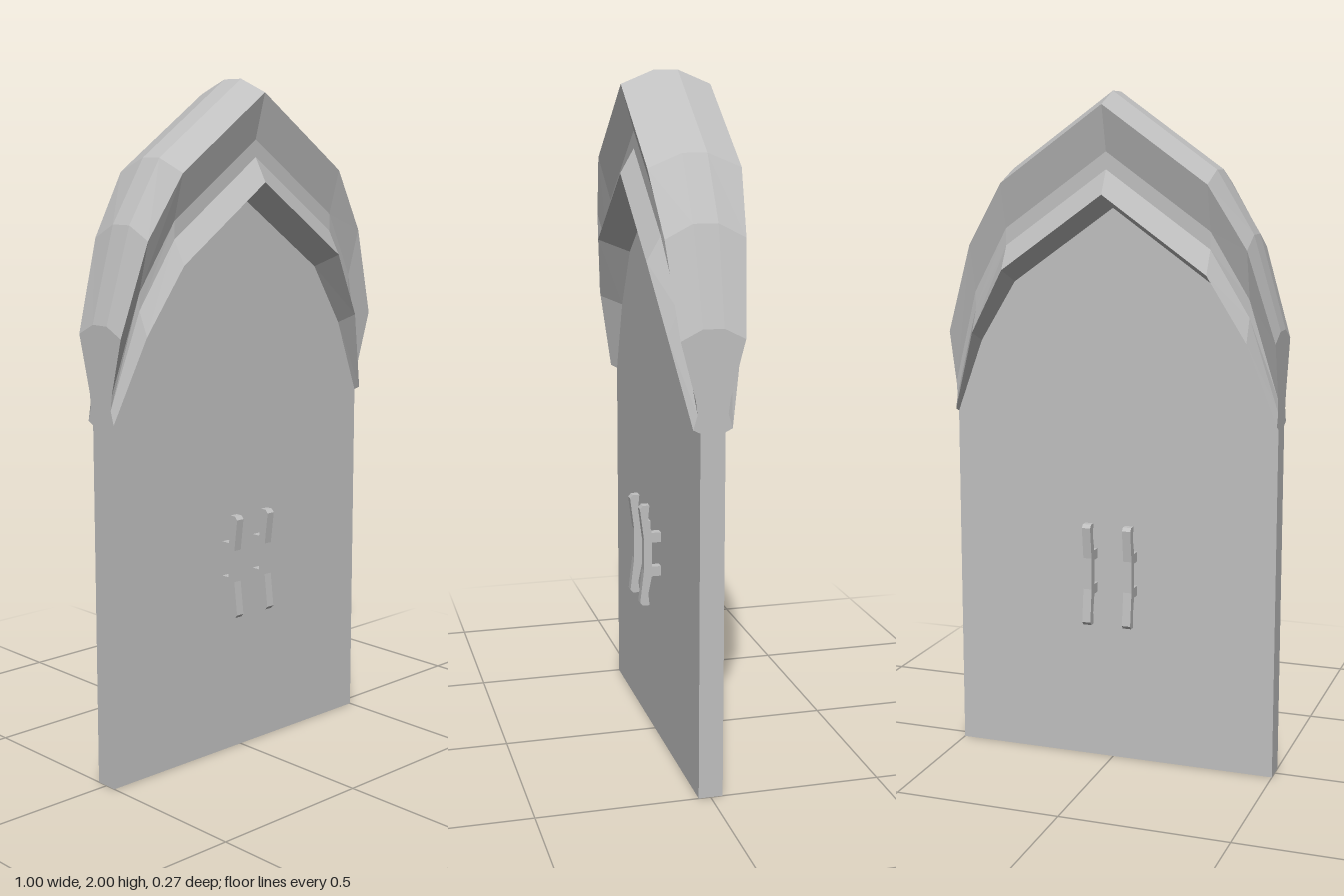
import * as THREE from 'three';

export function createModel() {
  const group = new THREE.Group();
  group.name = 'archedDoubleDoor';
  const grey = new THREE.MeshStandardMaterial({ color: 0xc0c0c0, flatShading: true });
  grey.name = 'stone grey';

  const add = (name, geometry, x = 0) => {
    const mesh = new THREE.Mesh(geometry, grey);
    mesh.name = name;
    mesh.position.x = x;
    group.add(mesh);
  };
  const extrude = (points, depth) => {
    const shape = new THREE.Shape(points.map(([x, y]) => new THREE.Vector2(x, y)));
    const g = new THREE.ExtrudeGeometry(shape, { depth, bevelEnabled: false });
    return g.translate(0, 0, -depth / 2);
  };

  // Half cross-sections of the hood from the peak outwards:
  // x, then [z, y] for crown, brow, cove top, cove bottom, lip, soffit
  const half = [
    { x: 0, p: [[0.035, 2], [0.132, 1.96], [0.095, 1.83], [0.095, 1.78], [0.135, 1.71], [0.035, 1.67]] },
    { x: 0.31, p: [[0.035, 1.78], [0.132, 1.74], [0.095, 1.61], [0.095, 1.56], [0.135, 1.49], [0.035, 1.45]] },
    { x: 0.42, p: [[0.035, 1.6], [0.113, 1.56], [0.075, 1.42], [0.074, 1.37], [0.105, 1.3], [0.035, 1.27]] },
    { x: 0.5, p: [[0.03, 1.33], [0.09, 1.3], [0.048, 1.14], [0.043, 1.1], [0.055, 1.06], [0.035, 1.05]] },
  ];
  const stations = [...half.slice(1).reverse().map((s) => ({ x: -s.x, p: s.p })), ...half];

  // Hood: closed cross-sections joined along the arch, capped at both ends
  const rings = stations.map(({ x, p }) => [
    ...p.map(([z, y]) => [x, y, z]),
    ...[...p].reverse().map(([z, y]) => [x, y, -z]),
  ]);
  const n = rings[0].length;
  const index = [];
  for (let i = 0; i < rings.length - 1; i++) {
    for (let j = 0; j < n; j++) {
      const a = i * n + j, b = i * n + ((j + 1) % n);
      index.push(a, b, a + n, b, b + n, a + n);
    }
  }
  const last = (rings.length - 1) * n;
  for (let j = 0; j < n / 2 - 1; j++) {
    const a = j, b = j + 1, c = n - 2 - j, d = n - 1 - j;
    index.push(a, c, b, a, d, c);
    index.push(last + a, last + b, last + c, last + a, last + c, last + d);
  }
  const hood = new THREE.BufferGeometry();
  hood.setAttribute('position', new THREE.Float32BufferAttribute(rings.flat(2), 3));
  hood.setIndex(index);
  const flatHood = hood.toNonIndexed();
  flatHood.computeVertexNormals();
  add('archHood', flatHood);

  // Handle profile as [distance from door centre, height]
  const grip = [
    [0.09, 0.74], [0.07, 0.74], [0.074, 0.7], [0.063, 0.655],
    [0.03, 0.655], [0.03, 0.625], [0.062, 0.625], [0.062, 0.55],
    [0.03, 0.55], [0.03, 0.52], [0.063, 0.52], [0.074, 0.465],
    [0.07, 0.43], [0.09, 0.43], [0.099, 0.44], [0.087, 0.54], [0.087, 0.635], [0.099, 0.73],
  ];

  for (const [side, s] of [['left', 1], ['right', -1]]) {
    // Door leaf, following the soffit of the hood
    const outline = [[0, 0], [0.5 * s, 0],
      ...[...half].reverse().map(({ x, p }) => [x * s, p[5][1]])];
    add(side + 'DoorLeaf', extrude(outline, 0.07));

    // Pull handles on both faces
    add(side + 'FrontHandle', extrude(grip, 0.026).rotateY(-Math.PI / 2), 0.063 * s);
    add(side + 'BackHandle', extrude(grip, 0.026).rotateY(Math.PI / 2), 0.063 * s);
  }
  return group;
}
